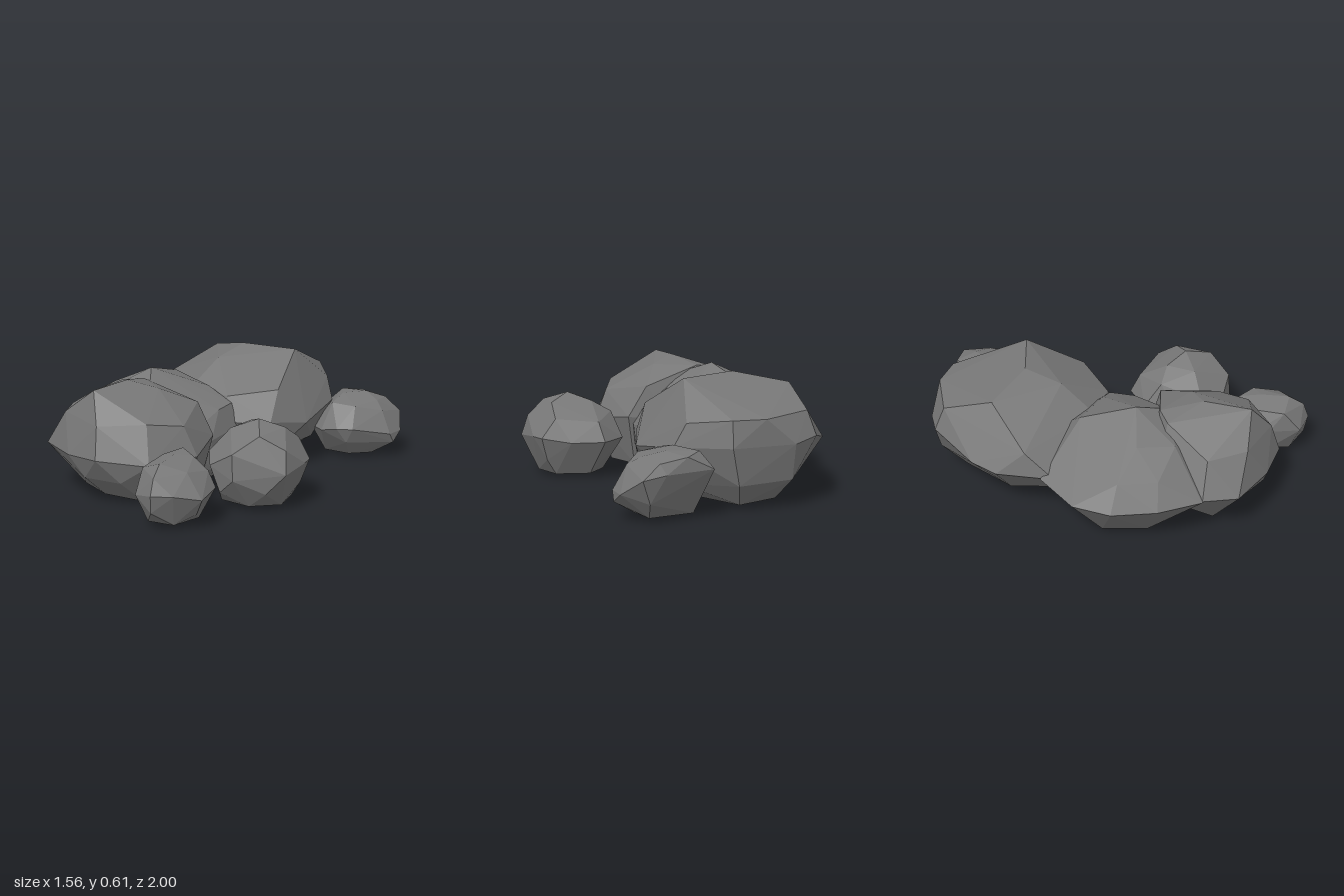
import * as THREE from 'three';
import { ConvexGeometry } from 'three/addons/geometries/ConvexGeometry.js';

// Each boulder is the faceted hull of a few corner points [x, y, z]:
// crown, widest girdle and flat base.
const rocks = {
  backBoulder: [
    // crown
    [-0.04, 0.61, -0.5], [0.26, 0.6, -0.52], [-0.28, 0.556, -0.65], [0.08, 0.45, -0.97], [-0.2, 0.46, -0.91],
    [0.3, 0.44, -0.22], [0.07, 0.41, -0.08], [-0.17, 0.43, -0.14], [-0.1, 0.56, -0.31], [-0.5, 0.4, -0.47],
    [0.37, 0.42, -0.72], [0.24, 0.45, -0.92],
    // girdle
    [-0.22, 0.34, -0.96], [-0.07, 0.32, -1.0], [0.25, 0.32, -0.94], [0.42, 0.3, -0.68], [0.42, 0.25, -0.33],
    [0.3, 0.28, -0.13], [0.1, 0.28, -0.03], [-0.1, 0.28, -0.06], [-0.55, 0.28, -0.32], [-0.5, 0.27, -0.62],
    [-0.42, 0.28, -0.75], [-0.08, 0.14, -0.96], [0.2, 0.13, -0.92],
    // base
    [0.3, 0.11, -0.2], [0.05, 0.11, -0.1], [-0.42, 0.14, -0.3], [0.13, 0, -0.28], [-0.2, 0, -0.34],
    [-0.24, 0, -0.58], [-0.08, 0.02, -0.82], [0.15, 0.02, -0.85], [0.17, 0, -0.55], [0.33, 0.1, -0.6],
  ],
  middleBoulder: [
    // crown
    [-0.3, 0.56, 0.08], [-0.22, 0.5, 0.24], [-0.52, 0.465, 0.09], [-0.48, 0.45, 0.28], [-0.3, 0.49, -0.2],
    [-0.05, 0.45, -0.1], [0.1, 0.38, -0.07], [0.09, 0.37, 0.06], [-0.7, 0.37, 0], [-0.66, 0.36, 0.2],
    // girdle
    [-0.55, 0.28, -0.39], [-0.74, 0.26, -0.22], [-0.78, 0.24, -0.03], [-0.75, 0.24, 0.2], [-0.66, 0.24, 0.42],
    [-0.3, 0.26, 0.5], [0.03, 0.25, 0.4], [0.12, 0.24, 0.2], [0.14, 0.26, -0.06], [-0.1, 0.27, -0.4],
    // base
    [0.12, 0.08, 0.16], [0.12, 0.08, -0.1], [0, 0.08, 0.36], [-0.58, 0, -0.08], [-0.57, 0, 0.15],
    [-0.36, 0, 0.32], [-0.06, 0, 0.32], [0.05, 0, 0.1], [0, 0, -0.16], [-0.4, 0, -0.22],
  ],
  frontBoulder: [
    // crown
    [-0.3, 0.56, 0.66], [-0.1, 0.53, 0.36], [-0.25, 0.57, 0.42], [-0.38, 0.52, 0.24], [-0.28, 0.53, 0.2],
    [0.04, 0.44, 0.2], [0.12, 0.39, 0.5], [-0.56, 0.42, 0.44], [0, 0.42, 0.66], [-0.22, 0.41, 0.77],
    [-0.48, 0.43, 0.64],
    // girdle
    [-0.65, 0.24, 0.42], [-0.62, 0.24, 0.6], [-0.4, 0.24, 0.75], [-0.2, 0.25, 0.82], [0.05, 0.23, 0.73],
    [0.19, 0.24, 0.49], [0.14, 0.28, 0.22], [-0.5, 0.25, 0.18], [-0.1, 0.25, 0.12],
    // base
    [-0.47, 0.01, 0.48], [-0.28, 0.01, 0.6], [-0.04, 0.01, 0.62], [0.11, 0.01, 0.46], [0.08, 0.01, 0.26],
    [-0.38, 0.01, 0.3], [-0.31, 0.13, 0.74], [-0.1, 0.13, 0.75],
  ],
  rightStone: [
    // crown
    [0.45, 0.43, 0.33], [0.36, 0.39, 0.23], [0.57, 0.39, 0.28], [0.32, 0.38, 0.38], [0.52, 0.38, 0.47],
    [0.4, 0.3, 0.08], [0.6, 0.32, 0.18], [0.26, 0.33, 0.2], [0.64, 0.31, 0.42], [0.42, 0.3, 0.57],
    // girdle
    [0.39, 0.2, 0.03], [0.24, 0.2, 0.11], [0.2, 0.2, 0.28], [0.22, 0.26, 0.42], [0.28, 0.22, 0.53],
    [0.43, 0.17, 0.58], [0.66, 0.2, 0.46], [0.68, 0.22, 0.28], [0.67, 0.22, 0.2], [0.55, 0.2, 0.1],
    // base
    [0.3, 0.02, 0.22], [0.42, 0.02, 0.14], [0.58, 0.02, 0.22], [0.6, 0.02, 0.38], [0.47, 0.02, 0.48],
    [0.3, 0.02, 0.44], [0.34, 0.09, 0.54], [0.57, 0.1, 0.5], [0.24, 0.1, 0.3], [0.63, 0.1, 0.22],
  ],
  smallFrontStone: [
    // crown
    [0.2, 0.32, 0.74], [0.28, 0.31, 0.7], [0.18, 0.32, 0.62], [0.1, 0.29, 0.68], [0.2, 0.31, 0.89],
    [0.32, 0.27, 0.84], [0.09, 0.27, 0.86], [0.36, 0.25, 0.7], [0.21, 0.26, 0.97],
    // girdle
    [0.16, 0.21, 0.56], [0.25, 0.2, 0.56], [0.4, 0.17, 0.7], [0.41, 0.15, 0.86], [0.31, 0.18, 0.96],
    [0.21, 0.18, 1.0], [0.1, 0.16, 0.95], [0.05, 0.18, 0.78], [0.04, 0.17, 0.68],
    // base
    [0.12, 0.02, 0.64], [0.26, 0.02, 0.62], [0.33, 0.02, 0.74], [0.28, 0.02, 0.9], [0.14, 0.02, 0.9],
    [0.07, 0.07, 0.8], [0.37, 0.07, 0.84], [0.2, 0.09, 0.98],
  ],
  smallBackStone: [
    // crown
    [0.46, 0.33, -0.74], [0.56, 0.33, -0.84], [0.65, 0.3, -0.77], [0.45, 0.3, -0.61], [0.58, 0.29, -0.62],
    [0.4, 0.32, -0.88], [0.64, 0.29, -0.92], [0.5, 0.31, -0.94], [0.7, 0.26, -0.72],
    // girdle
    [0.36, 0.24, -0.95], [0.62, 0.24, -0.95], [0.73, 0.22, -0.92], [0.78, 0.14, -0.8], [0.76, 0.14, -0.69],
    [0.6, 0.18, -0.54], [0.52, 0.18, -0.51], [0.42, 0.16, -0.53], [0.28, 0.2, -0.8], [0.32, 0.16, -0.62],
    // base
    [0.4, 0.02, -0.64], [0.55, 0.02, -0.62], [0.65, 0.02, -0.7], [0.65, 0.02, -0.84], [0.42, 0.02, -0.86],
    [0.77, 0.09, -0.72], [0.56, 0.1, -0.55], [0.68, 0.1, -0.9],
  ],
};

export function createModel() {
  const group = new THREE.Group();
  group.name = 'rockPile';
  const stone = new THREE.MeshStandardMaterial({ color: 0x777777, flatShading: true });
  stone.name = 'grey stone';
  for (const [name, corners] of Object.entries(rocks)) {
    const points = corners.map((c) => new THREE.Vector3(...c));
    const mesh = new THREE.Mesh(new ConvexGeometry(points), stone);
    mesh.name = name;
    group.add(mesh);
  }
  return group;
}
